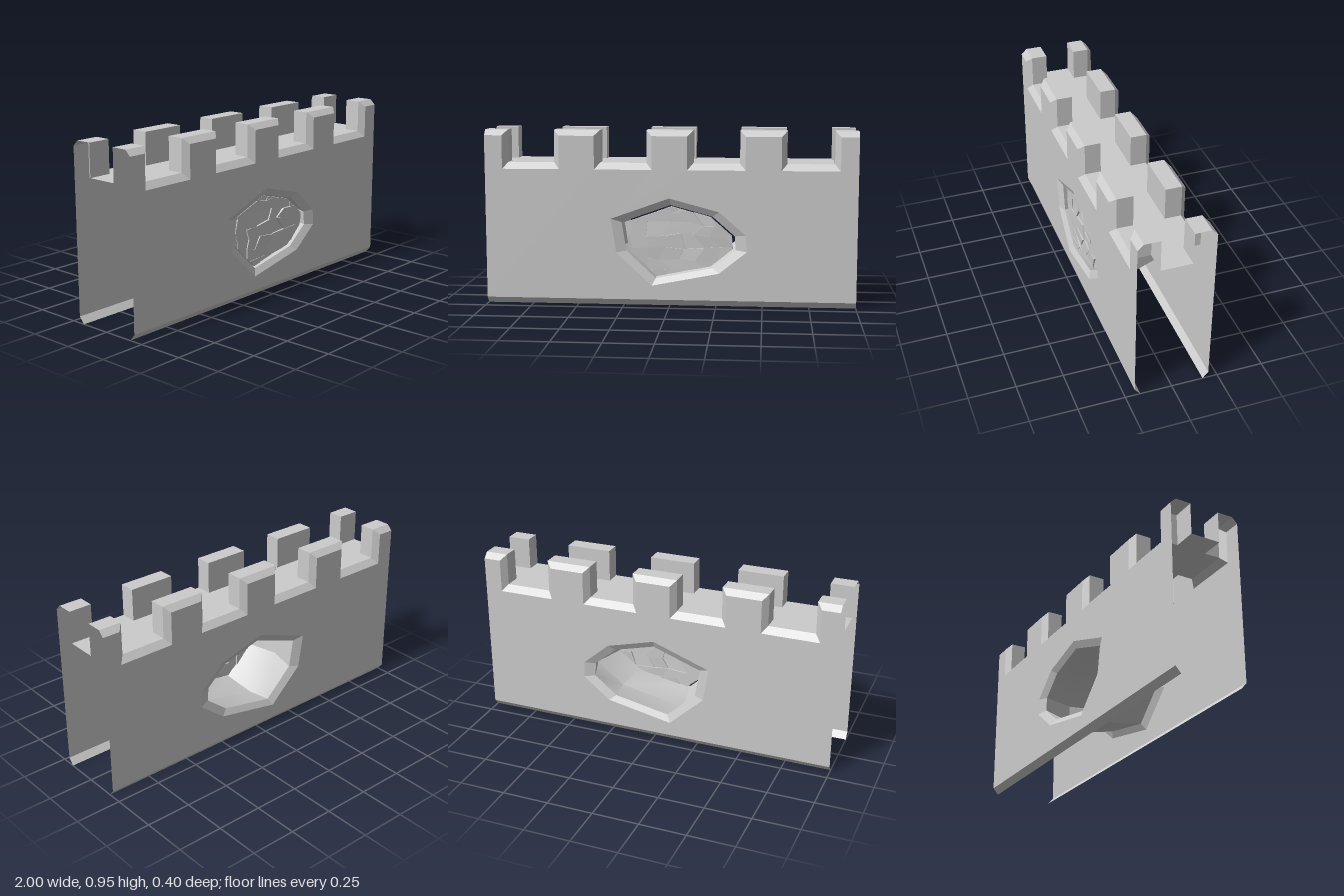
import * as THREE from 'three';
import { mergeGeometries, toCreasedNormals } from 'three/addons/utils/BufferGeometryUtils.js';

const material = new THREE.MeshStandardMaterial({ color: 0xcccccc, side: THREE.DoubleSide });

// Levels and depths of the wall
const FACE = 0.2, BEVEL = 0.17, INNER = 0.083, FLOOR = 0.775, TOP = 0.95;

// Breach outline, clockwise from the left tip
const breach = [[-0.26, 0.455], [0.005, 0.55], [0.23, 0.49], [0.35, 0.385],
  [0.355, 0.31], [0.23, 0.21], [-0.075, 0.15], [-0.235, 0.3]];
const scaled = (k) => breach.map(([x, y]) => [0.04 + (x - 0.04) * k, 0.35 + (y - 0.35) * k]);
const at = (points, z) => points.map(([x, y]) => [x, y, z]);
const closed = (points) => [...points, points[0]];

// Quads between successive rows of points
function loft(rows, crease = 0.1) {
  const pos = [];
  for (let r = 0; r + 1 < rows.length; r++) {
    const a = rows[r], b = rows[r + 1];
    for (let i = 0; i + 1 < a.length; i++) {
      pos.push(...a[i], ...a[i + 1], ...b[i + 1], ...a[i], ...b[i + 1], ...b[i]);
    }
  }
  const g = new THREE.BufferGeometry();
  g.setAttribute('position', new THREE.Float32BufferAttribute(pos, 3));
  return toCreasedNormals(g, crease);
}

function mesh(name, geometry) {
  const m = new THREE.Mesh(geometry, material);
  m.name = name;
  return m;
}

// Battlement line from left to right: merlons centred every half unit
function battlement(half, top, low) {
  const pts = [];
  for (let c = -1; c <= 1; c += 0.5) {
    if (c > -1) pts.push([c - half, low], [c - half, top]);
    else pts.push([-1, top]);
    if (c < 1) pts.push([c + half, top], [c + half, low]);
    else pts.push([1, top]);
  }
  return pts;
}

function createWallSide() {
  const side = new THREE.Group();
  const outer = battlement(0.095, 0.92, 0.74);
  const inner = battlement(0.125, TOP, FLOOR);
  const lip = scaled(1.19);

  // Flat face with the breach cut out
  const shape = new THREE.Shape([[-1, 0.035], [1, 0.035], ...outer.slice().reverse()]
    .map(([x, y]) => new THREE.Vector2(x, y)));
  shape.holes.push(new THREE.Path(lip.map(([x, y]) => new THREE.Vector2(x, y))));
  const face = new THREE.ShapeGeometry(shape);
  face.translate(0, 0, FACE);
  side.add(mesh('wallFace', face));

  // Bevelled battlement top, merlon sides and crenel floors
  side.add(mesh('battlement', loft([at(outer, FACE), at(inner, BEVEL), at(inner, INNER)])));
  side.add(mesh('bottomBevel', loft([[[-1, 0, BEVEL], [1, 0, BEVEL]],
    [[-1, 0.035, FACE], [1, 0.035, FACE]]])));
  side.add(mesh('breachLip', loft([at(closed(breach), 0.18), at(closed(lip), FACE)])));

  // Walkway side of each merlon
  for (let c = -1; c <= 1; c += 0.5) {
    const l = Math.max(-1, c - 0.125), r = Math.min(1, c + 0.125);
    side.add(mesh('merlonBack', loft([[[r, FLOOR, INNER], [l, FLOOR, INNER]],
      [[r, TOP, INNER], [l, TOP, INNER]]])));
  }
  return side;
}

// Trim a polygon to the convex, clockwise outline
function clip(poly, outline) {
  outline.forEach(([ax, ay], i) => {
    const [bx, by] = outline[(i + 1) % outline.length];
    const d = ([x, y]) => (by - ay) * (x - ax) - (bx - ax) * (y - ay);
    const out = [];
    poly.forEach((p, j) => {
      const q = poly[(j + 1) % poly.length], dp = d(p), dq = d(q);
      if (dp >= 0) out.push(p);
      if (dp * dq < 0) {
        const t = dp / (dp - dq);
        out.push([p[0] + (q[0] - p[0]) * t, p[1] + (q[1] - p[1]) * t]);
      }
    });
    poly = out;
  });
  return poly;
}

// Cracked stones filling the front of the breach
function createRubble() {
  let seed = 7;
  const rand = () => (seed = (seed * 16807) % 2147483647) / 2147483647 - 0.5;
  const cols = 8, rows = 7, outline = scaled(0.95), stones = [];
  const lattice = Array.from({ length: rows + 1 }, (_, j) => Array.from({ length: cols + 1 }, (_, i) =>
    [-0.32 + i * 0.092 + (j % 2) * 0.03 + rand() * 0.045, 0.13 + j * 0.063 + rand() * 0.035]));
  for (let j = 0; j < rows; j++) {
    for (let i = 0; i < cols; i++) {
      const quad = [lattice[j][i], lattice[j][i + 1], lattice[j + 1][i + 1], lattice[j + 1][i]];
      const poly = clip(quad, outline);
      const tiltX = rand() * 0.2, tiltY = rand() * 0.2, z0 = 0.145 + rand() * 0.012;
      if (poly.length < 3) continue;
      const g = new THREE.ExtrudeGeometry(new THREE.Shape(poly.map(([x, y]) => new THREE.Vector2(x, y))),
        { depth: 0.022, bevelEnabled: false });
      const p = g.attributes.position, [cx, cy] = poly[0];
      for (let k = 0; k < p.count; k++) {
        p.setZ(k, p.getZ(k) + z0 + tiltX * (p.getX(k) - cx) * 0.6 + tiltY * (p.getY(k) - cy) * 0.6);
      }
      g.computeVertexNormals();
      stones.push(g);
    }
  }
  return mesh('rubble', mergeGeometries(stones));
}

export function createModel() {
  const model = new THREE.Group();
  model.name = 'castleWall';

  const front = createWallSide();
  front.name = 'frontWall';
  const back = createWallSide();
  back.name = 'backWall';
  back.scale.z = -1;
  model.add(front, back);

  // Strip of walkway between the two battlements
  model.add(mesh('walkway', loft([[[-1, FLOOR, INNER], [1, FLOOR, INNER]],
    [[-1, FLOOR, -INNER], [1, FLOOR, -INNER]]])));

  // Passage through the wall, widest in the middle
  model.add(mesh('breachTunnel', loft([at(closed(breach), -0.18),
    at(closed(scaled(1.21)), 0), at(closed(breach), 0.18)], 0.52)));

  model.add(createRubble());
  return model;
}
